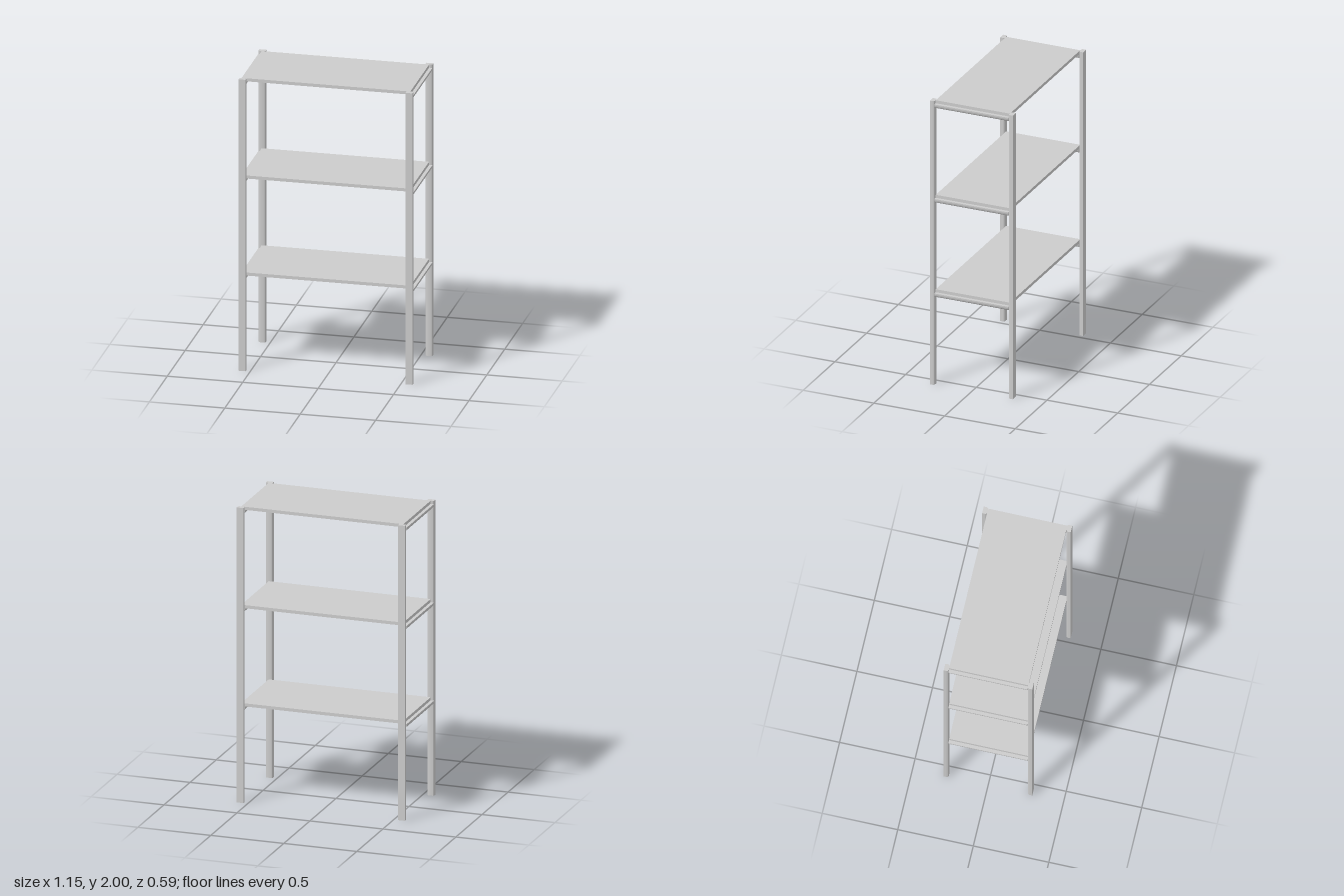
import * as THREE from 'three';
import { toCreasedNormals } from 'three/addons/utils/BufferGeometryUtils.js';

const W = 0.047, D = 0.031;            // section of posts and rails
const X = 0.577, Z = 0.293;            // outer half width and half depth
const shelfTops = [0.667, 1.333, 2];
const shelfT = 0.021;

// Bar along +z: flat face at y = 0, rounded corners on the side at y = -D
function barGeometry(length, r) {
  const h = W / 2;
  const s = new THREE.Shape();
  s.moveTo(h, 0);
  s.lineTo(-h, 0);
  s.lineTo(-h, -D + r);
  s.absarc(-h + r, -D + r, r, Math.PI, Math.PI * 1.5, false);
  s.absarc(h - r, -D + r, r, Math.PI * 1.5, Math.PI * 2, false);
  s.lineTo(h, 0);
  const g = new THREE.ExtrudeGeometry(s, { depth: length, bevelEnabled: false, curveSegments: 8 });
  return toCreasedNormals(g, 0.6);
}

export function createModel() {
  const group = new THREE.Group();
  const material = new THREE.MeshStandardMaterial({ color: 0xcccccc });
  const add = (name, geometry, x, y, z) => {
    const mesh = new THREE.Mesh(geometry, material);
    mesh.name = name;
    mesh.position.set(x, y, z);
    group.add(mesh);
    return mesh;
  };

  // Posts: flat side outwards, rounded side towards the shelves
  const post = barGeometry(2, 0.012).rotateX(-Math.PI / 2);
  // After the turn the flat side faces -z and the rounded side +z
  for (const sx of [-1, 1]) {
    for (const sz of [-1, 1]) {
      const leg = add(sz > 0 ? 'frontPost' : 'backPost', post, sx * (X - W / 2), 0, sz * Z);
      if (sz > 0) leg.rotation.y = Math.PI;
    }
  }

  // Shelves, each resting on a rounded rail at both ends
  const inner = Z - D;
  const rail = barGeometry(inner * 2, W / 2 - 0.0005);
  const board = new THREE.BoxGeometry(1.11, shelfT, inner * 2);
  for (const top of shelfTops) {
    add('shelf', board, 0, top - shelfT / 2, 0);
    for (const sx of [-1, 1]) add('rail', rail, sx * (X - W / 2), top - shelfT, -inner);
  }
  return group;
}
